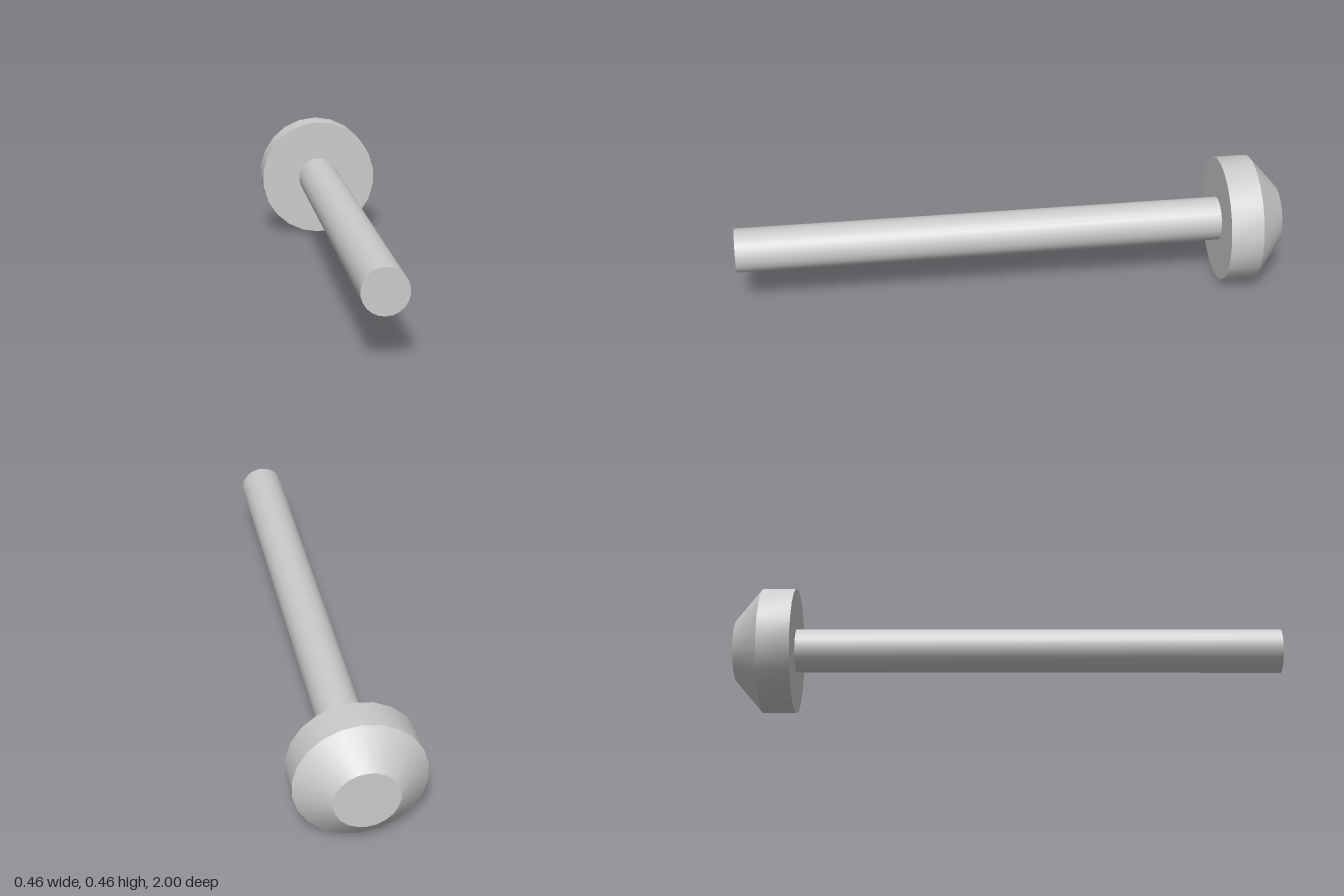
import * as THREE from 'three';
import { toCreasedNormals } from 'three/addons/utils/BufferGeometryUtils.js';

const SIDES = 22;
const AXIS_HEIGHT = 0.23;
const SHAFT_RADIUS = 0.08;
const HEAD_RADIUS = 0.23;
const HEAD_FRONT = -0.78;

// Revolves [radius, z] points, listed from back to front, around the z axis.
function turned(name, profile, material) {
  const points = profile.map(([r, z]) => new THREE.Vector2(r, z));
  const lathe = new THREE.LatheGeometry(points, SIDES).rotateX(Math.PI / 2);
  const mesh = new THREE.Mesh(toCreasedNormals(lathe, Math.PI / 6), material);
  mesh.name = name;
  mesh.position.y = AXIS_HEIGHT;
  return mesh;
}

export function createModel() {
  const model = new THREE.Group();
  model.name = 'bolt';
  const material = new THREE.MeshStandardMaterial({ color: 0xcccccc });

  // Head: flat end, chamfer, straight rim and the flat shoulder around the shaft
  model.add(turned('head', [
    [0, -1],
    [0.113, -1],
    [HEAD_RADIUS, -0.9],
    [HEAD_RADIUS, HEAD_FRONT],
    [SHAFT_RADIUS, HEAD_FRONT],
  ], material));

  // Shaft: long plain rod with a flat tip
  model.add(turned('shaft', [
    [SHAFT_RADIUS, HEAD_FRONT],
    [SHAFT_RADIUS, 1],
    [0, 1],
  ], material));

  return model;
}
